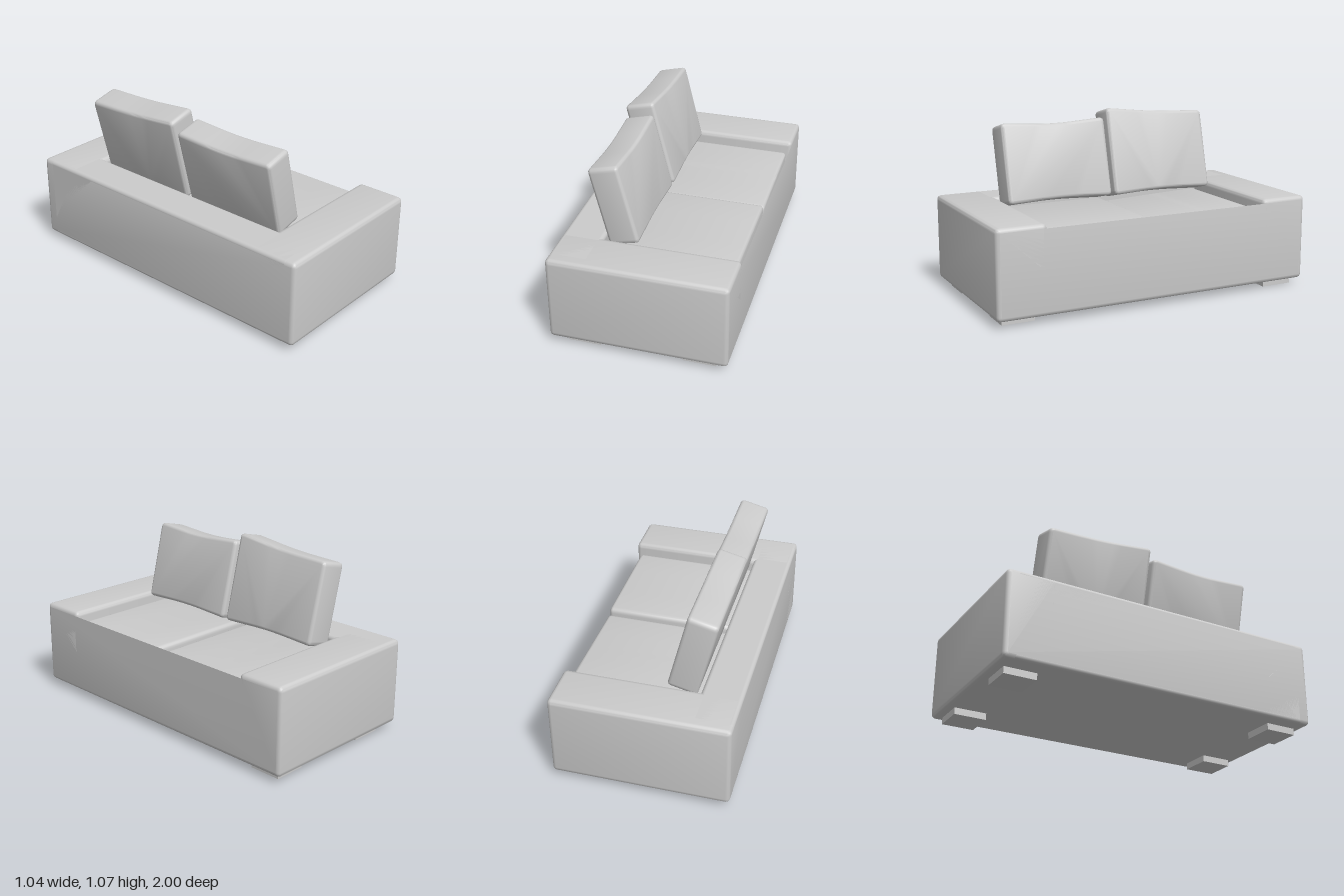
import * as THREE from 'three';
import { toCreasedNormals } from 'three/addons/utils/BufferGeometryUtils.js';
import { RoundedBoxGeometry } from 'three/addons/geometries/RoundedBoxGeometry.js';

const material = new THREE.MeshStandardMaterial({ color: 0xcccccc });

function addMesh(parent, name, geometry, x = 0, y = 0, z = 0) {
  const mesh = new THREE.Mesh(geometry, material);
  mesh.name = name;
  mesh.position.set(x, y, z);
  parent.add(mesh);
  return mesh;
}

// Closed outline through [x, y, radius] corners, each softened by its radius
function roundedOutline(corners) {
  const shape = new THREE.Shape();
  const n = corners.length;
  const pts = corners.map(([x, y]) => new THREE.Vector2(x, y));
  const toward = (i, j, r) => pts[i].clone().add(pts[j].clone().sub(pts[i]).setLength(r));
  for (let i = 0; i < n; i++) {
    const r = corners[i][2];
    const a = toward(i, (i + n - 1) % n, r);
    const b = toward(i, (i + 1) % n, r);
    if (i === 0) shape.moveTo(a.x, a.y);
    else shape.lineTo(a.x, a.y);
    shape.quadraticCurveTo(pts[i].x, pts[i].y, b.x, b.y);
  }
  shape.closePath();
  return shape;
}

// Extrudes an outline (drawn with -z to the right) along x, front face at x = 0
function softExtrude(corners, depth, bevel) {
  const geometry = new THREE.ExtrudeGeometry(roundedOutline(corners), {
    depth: depth - 2 * bevel,
    curveSegments: 5,
    bevelEnabled: true,
    bevelThickness: bevel,
    bevelSize: bevel,
    bevelOffset: -bevel,
    bevelSegments: 3,
  });
  geometry.translate(0, 0, bevel - depth);
  geometry.rotateY(Math.PI / 2);
  return toCreasedNormals(geometry, 0.7);
}

// Cushion from u0 to u1 (u = -z): bottom bulge, then top heights at start, middle and end
function cushion(u0, u1, depth, bulge, [h0, hMid, h1]) {
  const mid = (u0 + u1) / 2;
  const r = 0.03;
  return softExtrude([
    [u0, 0, r], [mid, bulge, 0.13], [u1, 0, r],
    [u1, h1, r], [mid, hMid, 0.13], [u0, h0, r],
  ], depth, 0.02);
}

export function createModel() {
  const sofa = new THREE.Group();
  sofa.name = 'sofa';

  // Base and arms as one U-shaped section
  const r = 0.03;
  const frame = [
    [-1, 0.04, r], [1, 0.04, r], [1, 0.56, r], [0.7, 0.56, r],
    [0.7, 0.3, r], [-0.7, 0.3, r], [-0.7, 0.56, r], [-1, 0.56, r],
  ];
  addMesh(sofa, 'baseAndArms', softExtrude(frame, 1.04, 0.024), 0.52);

  // Low back joining the arms
  addMesh(sofa, 'lowBack', new RoundedBoxGeometry(0.24, 0.52, 1.9, 3, 0.024), -0.4, 0.3, 0);

  // Seat cushions, the right one sagging toward the middle
  addMesh(sofa, 'leftSeatCushion', cushion(-0.688, -0.005, 0.77, 0, [0.183, 0.183, 0.183]), 0.49, 0.317);
  addMesh(sofa, 'rightSeatCushion', cushion(0.005, 0.688, 0.77, 0, [0.155, 0.17, 0.183]), 0.49, 0.317);

  // Back cushions leaning backward, with uneven upper edges
  const lean = THREE.MathUtils.degToRad(14);
  addMesh(sofa, 'leftBackCushion',
    cushion(-0.69, -0.013, 0.18, 0.016, [0.488, 0.466, 0.488]), -0.075, 0.548).rotation.z = lean;
  addMesh(sofa, 'rightBackCushion',
    cushion(0.01, 0.685, 0.18, 0.016, [0.546, 0.508, 0.498]), -0.075, 0.546).rotation.z = lean;

  // Flat square feet, tucked under the corners
  for (const [side, z, shift] of [['left', 0.852, 0], ['right', -0.848, 0.022]]) {
    addMesh(sofa, side + 'BackFoot', new THREE.BoxGeometry(0.193, 0.045, 0.195), -0.328 + shift, 0.0225, z);
    addMesh(sofa, side + 'FrontFoot', new THREE.BoxGeometry(0.193, 0.045, 0.195), 0.347 + shift, 0.0225, z);
  }

  return sofa;
}
